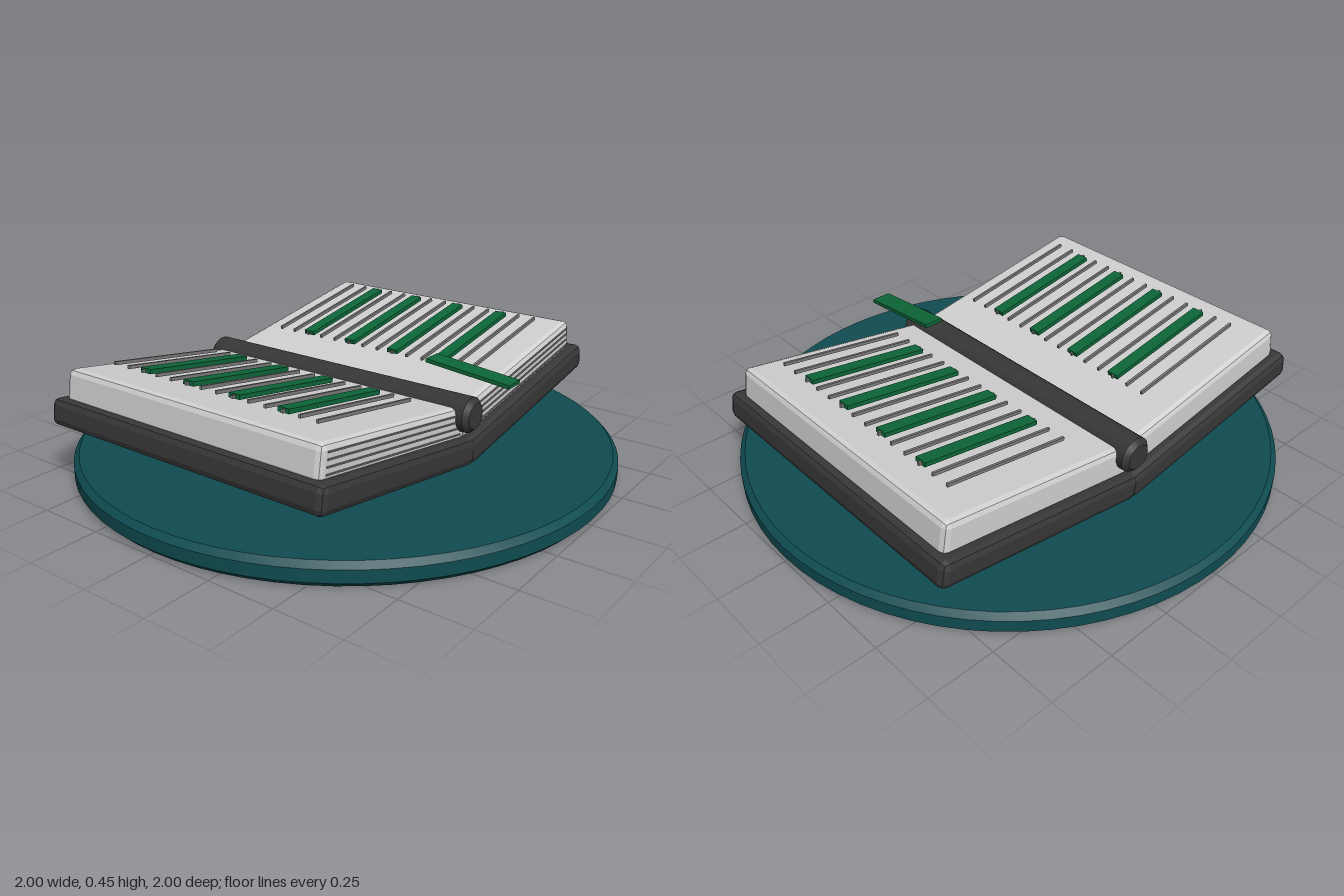
import * as THREE from 'three';
import { RoundedBoxGeometry } from 'three/addons/geometries/RoundedBoxGeometry.js';
import { toCreasedNormals } from 'three/addons/utils/BufferGeometryUtils.js';

const mat = (name, color) => {
  const m = new THREE.MeshStandardMaterial({ color });
  m.name = name;
  return m;
};

export function createModel() {
  const teal = mat('teal', 0x0f4c52);
  const charcoal = mat('charcoal', 0x373737);
  const paper = mat('paper', 0xd0d0d0);
  const grey = mat('grey', 0x7c7c7c);
  const green = mat('green', 0x0d6638);

  const model = new THREE.Group();
  model.name = 'openBook';
  const tilt = 0.16; // rise of each half from the spine

  const add = (parent, name, geometry, material, x, y, z) => {
    const mesh = new THREE.Mesh(geometry, material);
    mesh.name = name;
    mesh.position.set(x, y, z);
    parent.add(mesh);
    return mesh;
  };

  // box with faceted, cut edges
  const chamferBox = (w, h, d, r) => {
    const g = new RoundedBoxGeometry(w, h, d, 1, r);
    g.computeVertexNormals();
    return g;
  };

  // round bar along y with bevelled rims, centred on the origin
  const bevelDisc = (r, h, b, sides) => toCreasedNormals(new THREE.LatheGeometry([
    [0, -h / 2], [r - b, -h / 2], [r, -h / 2 + b], [r, h / 2 - b], [r - b, h / 2], [0, h / 2],
  ].map(([x, y]) => new THREE.Vector2(x, y)), sides), 0.5);

  // base plate
  add(model, 'base', bevelDisc(1, 0.085, 0.02, 72), teal, 0, 0.0425, 0);

  // two mirrored halves, built along x from the fold
  for (const s of [1, -1]) {
    const half = new THREE.Group();
    half.name = s > 0 ? 'leftHalf' : 'rightHalf';
    half.position.y = 0.09;
    half.rotation.z = s * tilt;
    model.add(half);

    add(half, 'cover', chamferBox(0.87, 0.1, 1.195, 0.025), charcoal, s * 0.425, 0.05, -0.043);
    add(half, 'pageBlock', chamferBox(0.82, 0.125, 1.11, 0.022), paper, s * 0.42, 0.1445, -0.043);

    // leaf edges on the front of the page block
    for (let i = 0; i < 4; i++) {
      add(half, 'leafEdge', new THREE.BoxGeometry(0.75, 0.005, 0.008), grey,
        s * 0.425, 0.112 + i * 0.023, 0.512);
    }
    // ruled lines
    for (let i = 0; i < 14; i++) {
      add(half, 'ruledLine', new THREE.BoxGeometry(0.497, 0.012, 0.009), grey,
        s * 0.48, 0.236, -0.475 + i * 0.0681);
    }
    // highlighted lines
    for (let i = 0; i < 4; i++) {
      add(half, 'highlight', new THREE.BoxGeometry(0.478, 0.016, 0.046), green,
        s * 0.478, 0.237, -0.335 + i * 0.2017);
    }
  }

  // spine bar
  add(model, 'spine', bevelDisc(0.064, 1.195, 0.018, 24), charcoal, 0, 0.275, -0.043)
    .rotation.x = Math.PI / 2;

  // bookmark ribbon, dipping towards the front
  add(model, 'ribbon', new THREE.BoxGeometry(0.075, 0.014, 0.335), green, 0.0925, 0.397, 0.478)
    .rotation.x = 0.09;

  return model;
}
